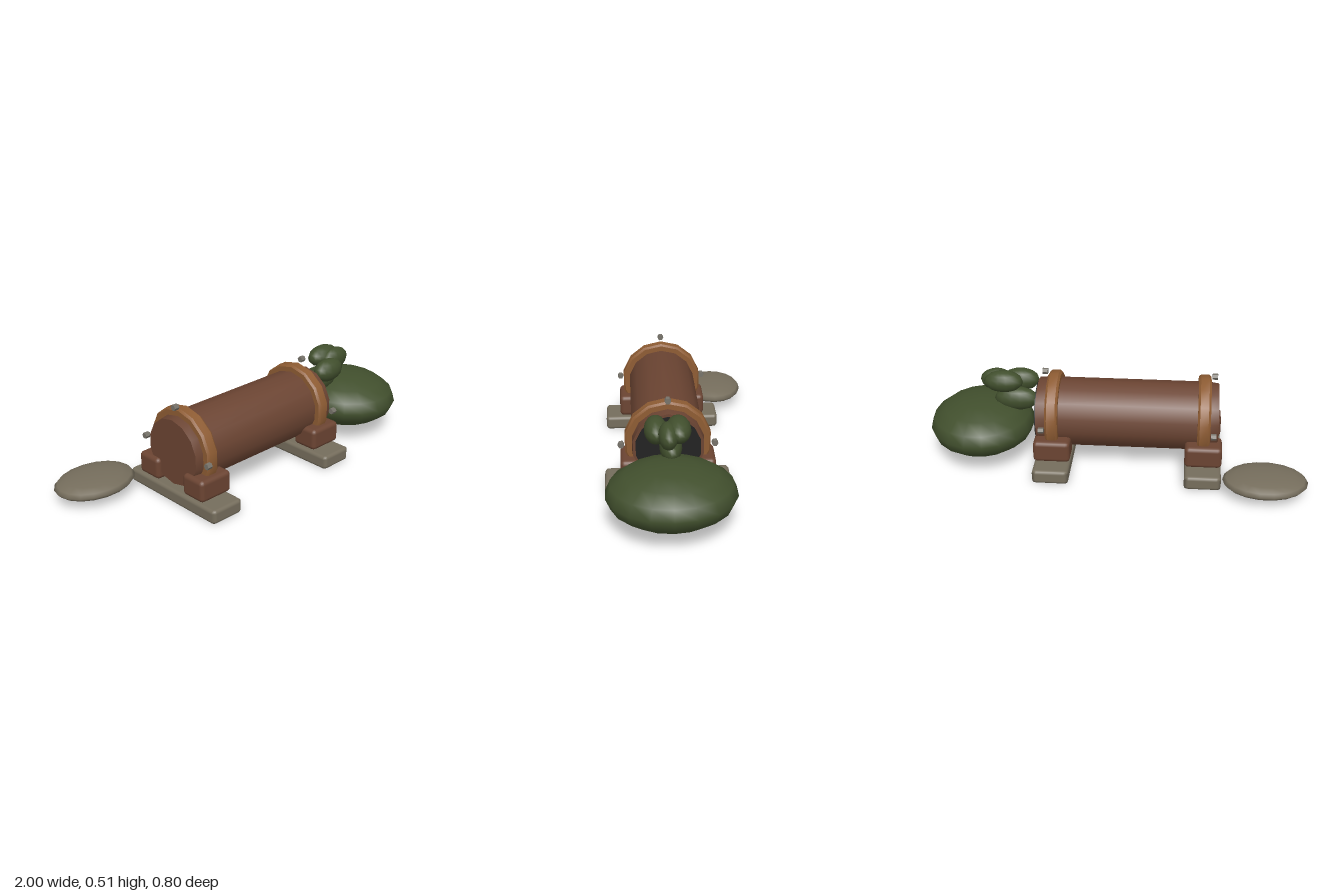
import * as THREE from 'three';
import { toCreasedNormals } from 'three/addons/utils/BufferGeometryUtils.js';
import { RoundedBoxGeometry } from 'three/addons/geometries/RoundedBoxGeometry.js';

const AXIS_Y = 0.27, AXIS_Z = 0.085, SIDES = 14;

function material(name, color, side = THREE.FrontSide) {
  const m = new THREE.MeshStandardMaterial({ color, side });
  m.name = name;
  return m;
}

export function createModel() {
  const group = new THREE.Group();
  const brown = material('brown bark', 0x6b4432);
  const wood = material('tan wood', 0x8e5c33, THREE.DoubleSide);
  const black = material('black hollow', 0x222222);
  const stone = material('grey stone', 0x756d5c);
  const metal = material('grey metal', 0x77736a);
  const green = material('leaf green', 0x414f2d);

  function add(name, geometry, mat, x, y, z) {
    const mesh = new THREE.Mesh(geometry, mat);
    mesh.name = name;
    mesh.position.set(x, y, z);
    group.add(mesh);
    return mesh;
  }

  // Revolve a (radius, x) profile round the long axis, with a vertex at the top
  function revolve(profile, segments = SIDES, start = Math.PI / 2, length = Math.PI * 2) {
    const pts = profile.map(([r, x]) => new THREE.Vector2(r, x));
    const geo = new THREE.LatheGeometry(pts, segments, start, length).rotateZ(-Math.PI / 2);
    return toCreasedNormals(geo, 0.6);
  }

  // Rounded, flattened blob
  function blob(name, mat, x, y, z, rx, ry, rz, segments = 14) {
    add(name, new THREE.SphereGeometry(1, segments, 8).scale(rx, ry, rz), mat, x, y, z);
  }

  // Barrel and its dark mouth
  add('barrel', revolve([[0, -0.54], [0.173, -0.54], [0.181, -0.49], [0.181, 0.35], [0.177, 0.41], [0, 0.41]]),
    brown, 0, AXIS_Y, AXIS_Z);
  add('hollowMouth', revolve([[0.163, 0.38], [0.163, 0.417], [0, 0.417]]), black, 0, AXIS_Y, AXIS_Z);

  // Arched bands, reaching down into the cradle blocks
  const step = Math.PI * 2 / SIDES;
  const band = revolve([[0.17, -0.033], [0.207, -0.033], [0.217, -0.022], [0.217, 0.022], [0.207, 0.033], [0.17, 0.033]],
    10, Math.PI * 1.5 - 5 * step, 10 * step);

  // Base beam, narrowed a little at both ends
  const beam = new RoundedBoxGeometry(0.19, 0.074, 0.63, 2, 0.018);
  const p = beam.attributes.position;
  for (let i = 0; i < p.count; i++) if (Math.abs(p.getZ(i)) > 0.305) p.setX(i, p.getX(i) * 0.93);
  const block = new RoundedBoxGeometry(0.193, 0.115, 0.145, 2, 0.022);
  const bolt = new THREE.CylinderGeometry(0.016, 0.016, 0.028, 6).rotateZ(Math.PI / 2).toNonIndexed();
  bolt.computeVertexNormals();

  for (const [end, supportX, bandX, boltX] of [['rear', -0.467, -0.465, -0.515], ['mouth', 0.323, 0.325, 0.372]]) {
    add(end + 'Band', band, wood, bandX, AXIS_Y, AXIS_Z);
    add(end + 'Beam', beam, stone, supportX, 0.038, AXIS_Z);
    add(end + 'TopBolt', bolt, metal, boltX, 0.502, AXIS_Z);
    for (const s of [-1, 1]) {
      add(end + 'Block', block, brown, supportX, 0.142, AXIS_Z + s * 0.163);
      add(end + 'SideBolt', bolt, metal, boltX, 0.273, AXIS_Z + s * 0.23);
    }
  }

  // Large bush and the small leaf clusters at the mouth
  blob('bush', green, 0.72, 0.193, AXIS_Z, 0.277, 0.143, 0.31, 18);
  blob('lowerLeaves', green, 0.53, 0.338, 0.08, 0.118, 0.065, 0.055);
  blob('frontLeaves', green, 0.515, 0.418, 0.15, 0.1, 0.062, 0.056);
  blob('outerLeaves', green, 0.63, 0.44, 0.095, 0.09, 0.062, 0.047);
  blob('backLeaves', green, 0.59, 0.453, 0.046, 0.103, 0.058, 0.06);

  // Flat stone lying behind the rear end
  blob('flatStone', stone, -0.783, 0.08, -0.235, 0.217, 0.046, 0.165, 18);

  return group;
}
